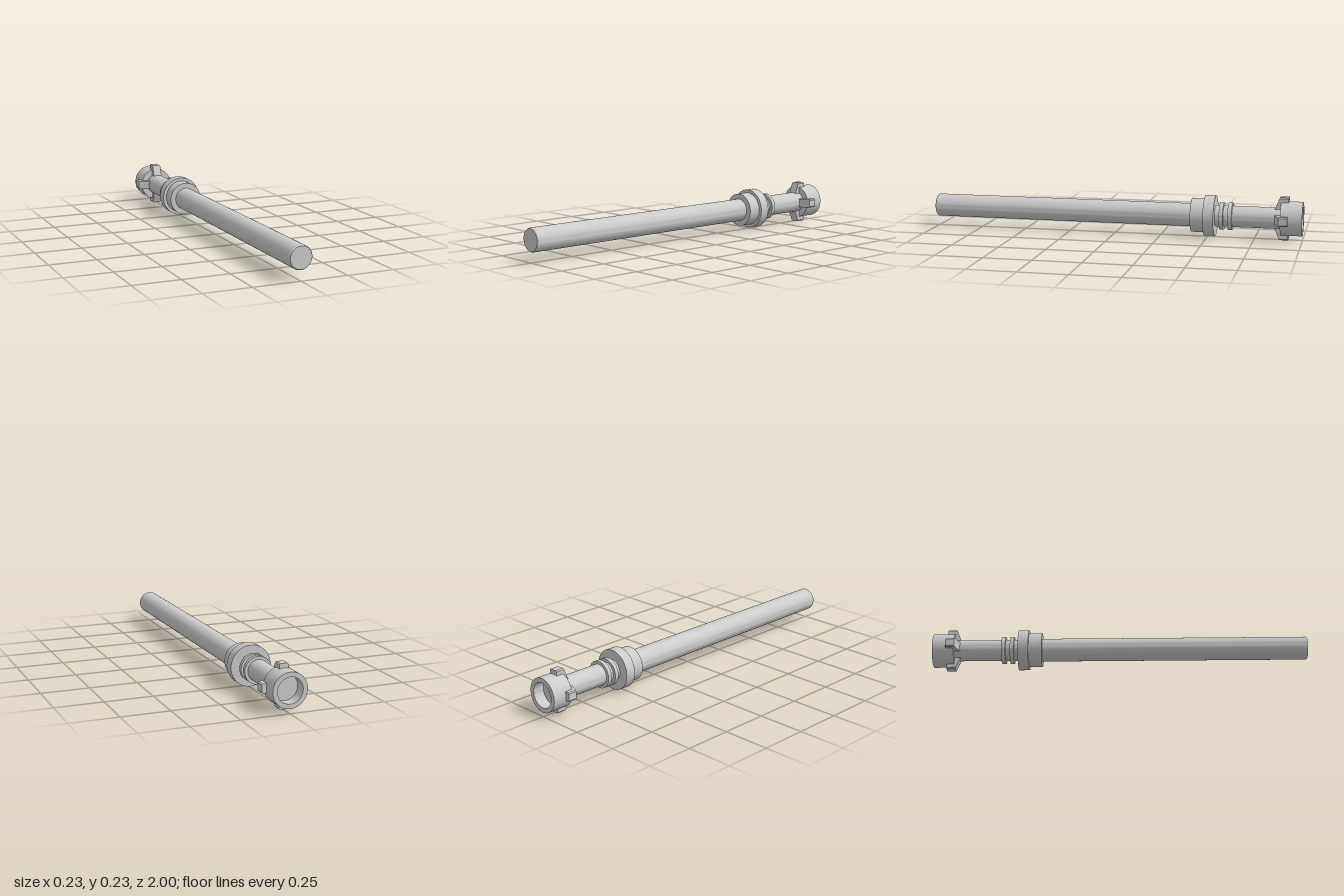
import * as THREE from 'three';
import { toCreasedNormals } from 'three/addons/utils/BufferGeometryUtils.js';

const AXIS_Y = 0.114;
const material = new THREE.MeshStandardMaterial({ color: 0xcccccc });

// Part turned around the z axis; profile is [radius, z] pairs from back to front
function turned(name, profile) {
  const points = profile.map(([r, z]) => new THREE.Vector2(r, z));
  const geometry = new THREE.LatheGeometry(points, 48).rotateX(Math.PI / 2);
  const mesh = new THREE.Mesh(toCreasedNormals(geometry, 0.5), material);
  mesh.name = name;
  return mesh;
}

// Plain closed disc or rod between two z positions
const rod = (name, r, back, front) =>
  turned(name, [[0, back], [r, back], [r, front], [0, front]]);

// Chamfered lug whose front face leans back towards its outer end
function lugGeometry() {
  const shape = new THREE.Shape([
    [-0.024, 0.05], [0.024, 0.05], [0.024, 0.107],
    [0.018, 0.113], [-0.018, 0.113], [-0.024, 0.107],
  ].map(([x, y]) => new THREE.Vector2(x, y)));
  const back = -0.927, front = -0.855;
  const geometry = new THREE.ExtrudeGeometry(shape, { depth: front - back, bevelEnabled: false });
  geometry.translate(0, 0, back);
  const p = geometry.attributes.position;
  for (let i = 0; i < p.count; i++) {
    if (p.getZ(i) > -0.9) p.setZ(i, front - 0.4 * (p.getY(i) - 0.05));
  }
  geometry.computeVertexNormals();
  return geometry;
}

export function createModel() {
  const model = new THREE.Group();
  model.name = 'bladeWithHilt';
  const body = new THREE.Group();
  body.name = 'body';
  body.position.y = AXIS_Y;
  model.add(body);

  // Long blade with a slightly eased tip
  body.add(turned('blade', [
    [0, -0.45], [0.061, -0.45], [0.061, 0.994], [0.057, 1], [0, 1],
  ]));

  // Stepped collar around the blade root
  body.add(rod('emitterCollar', 0.09, -0.49, -0.417));
  body.add(rod('flange', 0.107, -0.543, -0.487));

  // Grip and its two thin rings
  body.add(rod('grip', 0.056, -0.92, -0.52));
  [[-0.588, -0.567], [-0.634, -0.612]].forEach(([back, front], i) =>
    body.add(rod(`gripRing${i + 1}`, 0.072, back, front)));

  // Pommel with a round socket in its back end
  body.add(turned('pommel', [
    [0, -0.94], [0.066, -0.94], [0.066, -1], [0.09, -1], [0.09, -0.887], [0, -0.887],
  ]));

  // Four lugs around the pommel
  const lug = lugGeometry();
  for (let i = 0; i < 4; i++) {
    const mesh = new THREE.Mesh(lug, material);
    mesh.name = `pommelLug${i + 1}`;
    mesh.rotation.z = (i * Math.PI) / 2;
    body.add(mesh);
  }
  return model;
}
